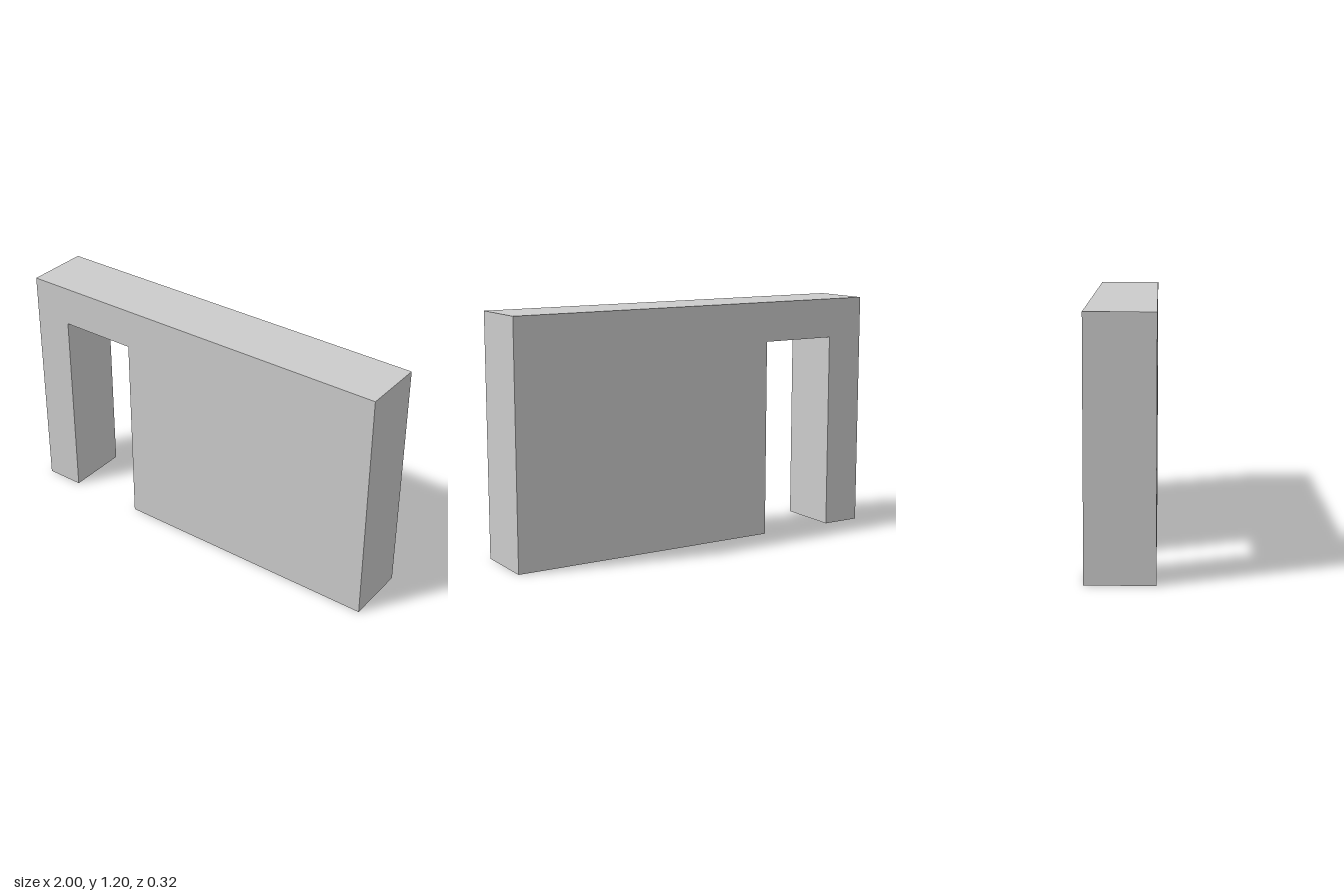
import * as THREE from 'three';

const W = 1, H = 1.2, D = 0.16;               // half width, height, half depth
const DOOR = { x0: -0.8, x1: -0.4, top: 1 };  // doorway opening

export function createModel() {
  const group = new THREE.Group();
  const material = new THREE.MeshStandardMaterial({
    color: 0xcccccc, flatShading: true, side: THREE.DoubleSide,
  });
  const add = (name, geometry) => {
    const mesh = new THREE.Mesh(geometry, material);
    mesh.name = name;
    group.add(mesh);
    return mesh;
  };

  // Front and back faces, with the doorway cut out of the outline
  const outline = new THREE.Shape([
    [-W, 0], [DOOR.x0, 0], [DOOR.x0, DOOR.top], [DOOR.x1, DOOR.top],
    [DOOR.x1, 0], [W, 0], [W, H], [-W, H],
  ].map(([x, y]) => new THREE.Vector2(x, y)));
  add('frontFace', new THREE.ShapeGeometry(outline)).position.z = D;
  const back = new THREE.ShapeGeometry(outline);
  back.scale(-1, 1, 1).rotateY(Math.PI);
  // scaling mirrors the winding, so swap it back to face outward
  const index = back.index.array;
  for (let i = 0; i < index.length; i += 3) [index[i], index[i + 1]] = [index[i + 1], index[i]];
  back.computeVertexNormals();
  add('backFace', back).position.z = -D;

  // Upright panels across the thickness: x, height, direction faced
  const upright = (name, x, height, dir) =>
    add(name, new THREE.PlaneGeometry(2 * D, height).rotateY(dir * Math.PI / 2))
      .position.set(x, height / 2, 0);
  upright('rightEnd', -W, H, -1);
  upright('leftEnd', W, H, 1);
  upright('doorJambRight', DOOR.x0, DOOR.top, 1);
  upright('doorJambLeft', DOOR.x1, DOOR.top, -1);
  upright('innerPartition', 0.8, DOOR.top, 1);

  // Level panels; the underside of the wall is left open
  const level = (name, x0, x1, y, dir) =>
    add(name, new THREE.PlaneGeometry(x1 - x0, 2 * D).rotateX(-dir * Math.PI / 2))
      .position.set((x0 + x1) / 2, y, 0);
  level('wallTop', -W, W, H, 1);
  level('doorLintel', DOOR.x0, DOOR.x1, DOOR.top, -1);

  return group;
}
